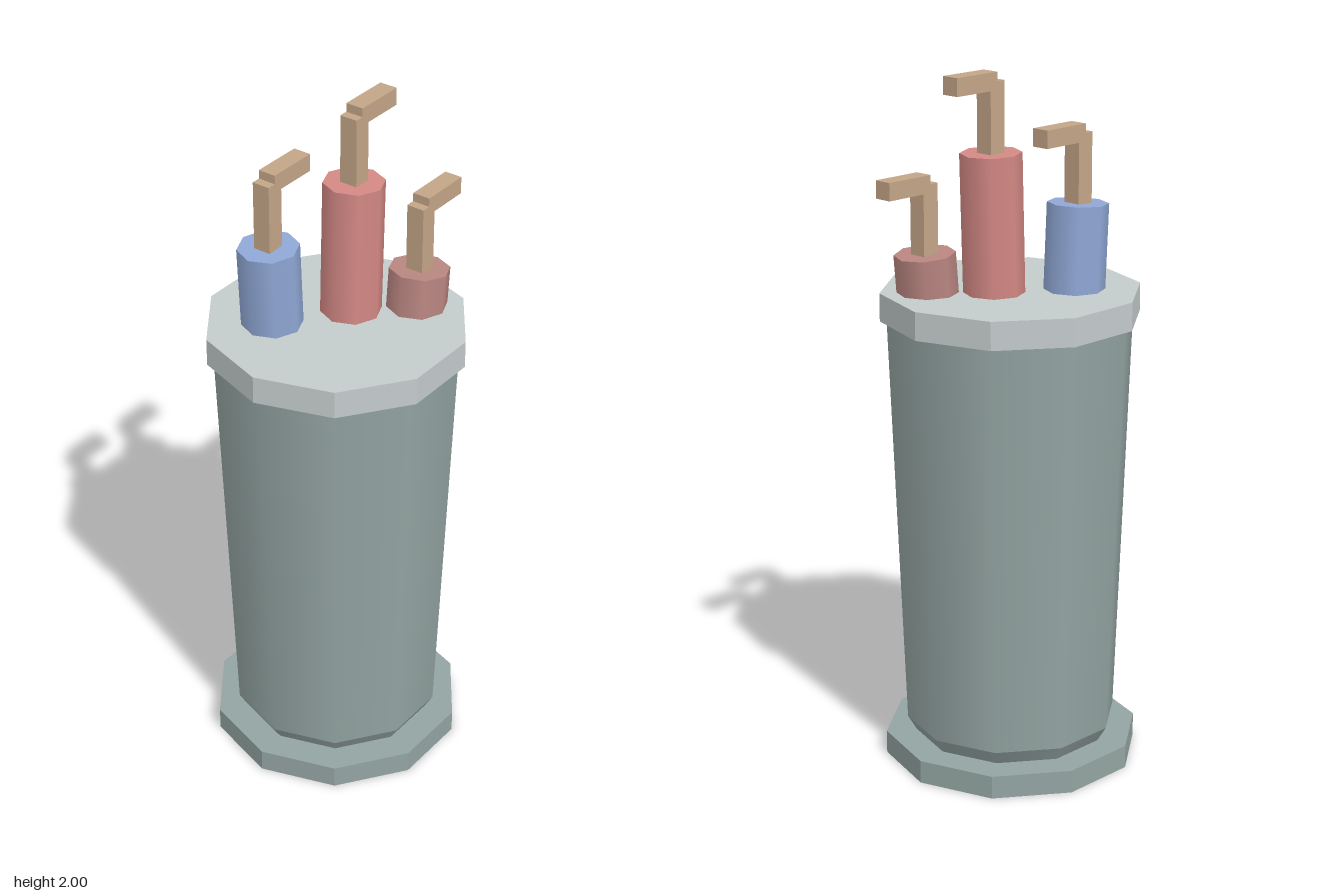
import * as THREE from 'three';

const paint = (name, color) => {
  const m = new THREE.MeshStandardMaterial({ color });
  m.name = name;
  return m;
};

export function createModel() {
  const model = new THREE.Group();
  model.name = 'canister';
  const bodyGrey = paint('body grey green', 0x93a4a2);
  const lidGrey = paint('lid pale grey', 0xc4cbcc);
  const blue = paint('blue', 0x90a8d6);
  const red = paint('red', 0xd48985);
  const rose = paint('dusty rose', 0xba8681);
  const tan = paint('tan', 0xc3a587);

  const add = (parent, name, geometry, material, x, y, z) => {
    const mesh = new THREE.Mesh(geometry, material);
    mesh.name = name;
    mesh.position.set(x, y, z);
    parent.add(mesh);
    return mesh;
  };

  // Ten-sided prism spanning y0..y1 with a corner on +x
  const ring = (name, rTop, rBottom, y0, y1, material, flat, open = false) => {
    let g = new THREE.CylinderGeometry(rTop, rBottom, y1 - y0, 10, 1, open).rotateY(Math.PI / 2);
    if (flat) {
      g = g.toNonIndexed();
      g.computeVertexNormals();
    }
    return add(model, name, g, material, 0, (y0 + y1) / 2, 0);
  };

  ring('base', 0.368, 0.368, 0, 0.067, bodyGrey, true);
  ring('bodyFoot', 0.305, 0.28, 0.067, 0.11, bodyGrey, false, true);
  ring('body', 0.349, 0.305, 0.11, 1.306, bodyGrey, false, true);
  ring('lid', 0.368, 0.368, 1.306, 1.386, lidGrey, true);

  // Leaning plungers, each with a bent handle
  const plungers = [
    ['leftBack', -0.131, -0.13, 1.628, 0.05, blue],
    ['middle', 0.078, 0, 1.778, -0.03, red],
    ['rightFront', 0.206, 0.13, 1.498, -0.09, rose],
  ];
  for (const [name, x, z, top, lean, material] of plungers) {
    const group = new THREE.Group();
    group.name = name + 'Plunger';
    group.position.set(x, top, z);
    model.add(group);

    // The tube pivots about its top and runs down into the lid
    const length = top - 1.35;
    const tube = new THREE.CylinderGeometry(0.086, 0.086, length, 8).translate(0, -length / 2, 0);
    add(group, 'tube', tube, material, 0, 0, 0).rotation.z = lean;

    // Upright and crossbar, both square to the model
    add(group, 'upright', new THREE.BoxGeometry(0.053, 0.217, 0.053), tan, 0, 0.0885, 0);
    add(group, 'crossbar', new THREE.BoxGeometry(0.152, 0.05, 0.053), tan, 0.076, 0.197, 0);
  }
  return model;
}
